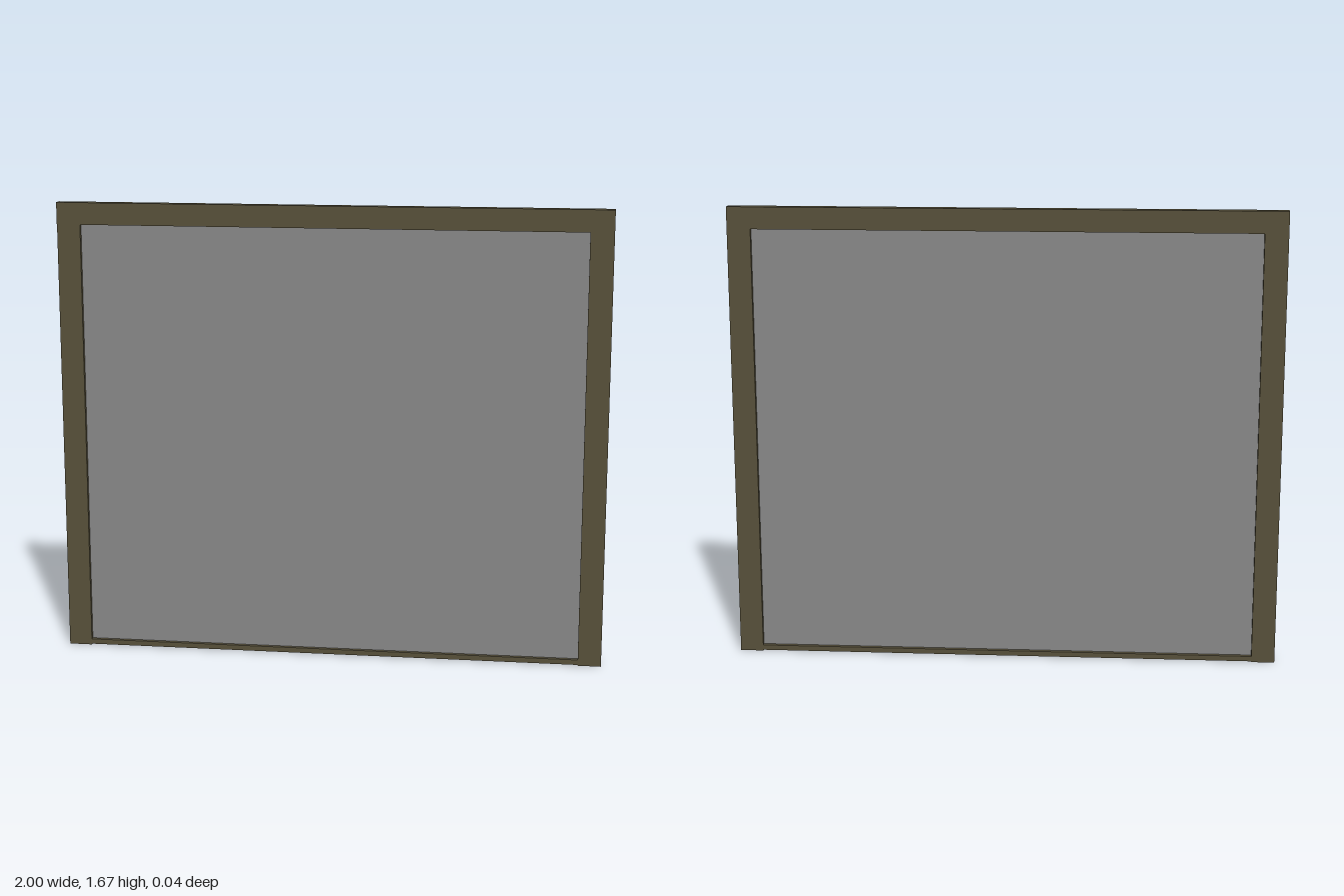
import * as THREE from 'three';

export function createModel() {
  const group = new THREE.Group();
  const frame = new THREE.MeshStandardMaterial({ color: 0x57503a });
  const glass = new THREE.MeshStandardMaterial({ color: 0x888888 });

  // Box given by its extents on each axis
  const addBox = (name, [x0, x1], [y0, y1], [z0, z1], material) => {
    const mesh = new THREE.Mesh(new THREE.BoxGeometry(x1 - x0, y1 - y0, z1 - z0), material);
    mesh.position.set((x0 + x1) / 2, (y0 + y1) / 2, (z0 + z1) / 2);
    mesh.name = name;
    group.add(mesh);
  };

  const depth = [-0.019, 0.016];

  // Side posts
  addBox('leftPost', [0.915, 1], [0, 1.595], depth, frame);
  addBox('rightPost', [-1, -0.915], [0, 1.595], depth, frame);

  // Top rail, slightly proud of the posts
  addBox('topRail', [-1, 1], [1.595, 1.675], [-0.019, 0.019], frame);

  // Slim bottom rail between the posts
  addBox('bottomRail', [-0.915, 0.915], [0.003, 0.022], depth, frame);

  // Thin pane recessed between both faces of the frame
  addBox('pane', [-0.915, 0.915], [0.022, 1.595], [-0.003, 0.001], glass);

  return group;
}
